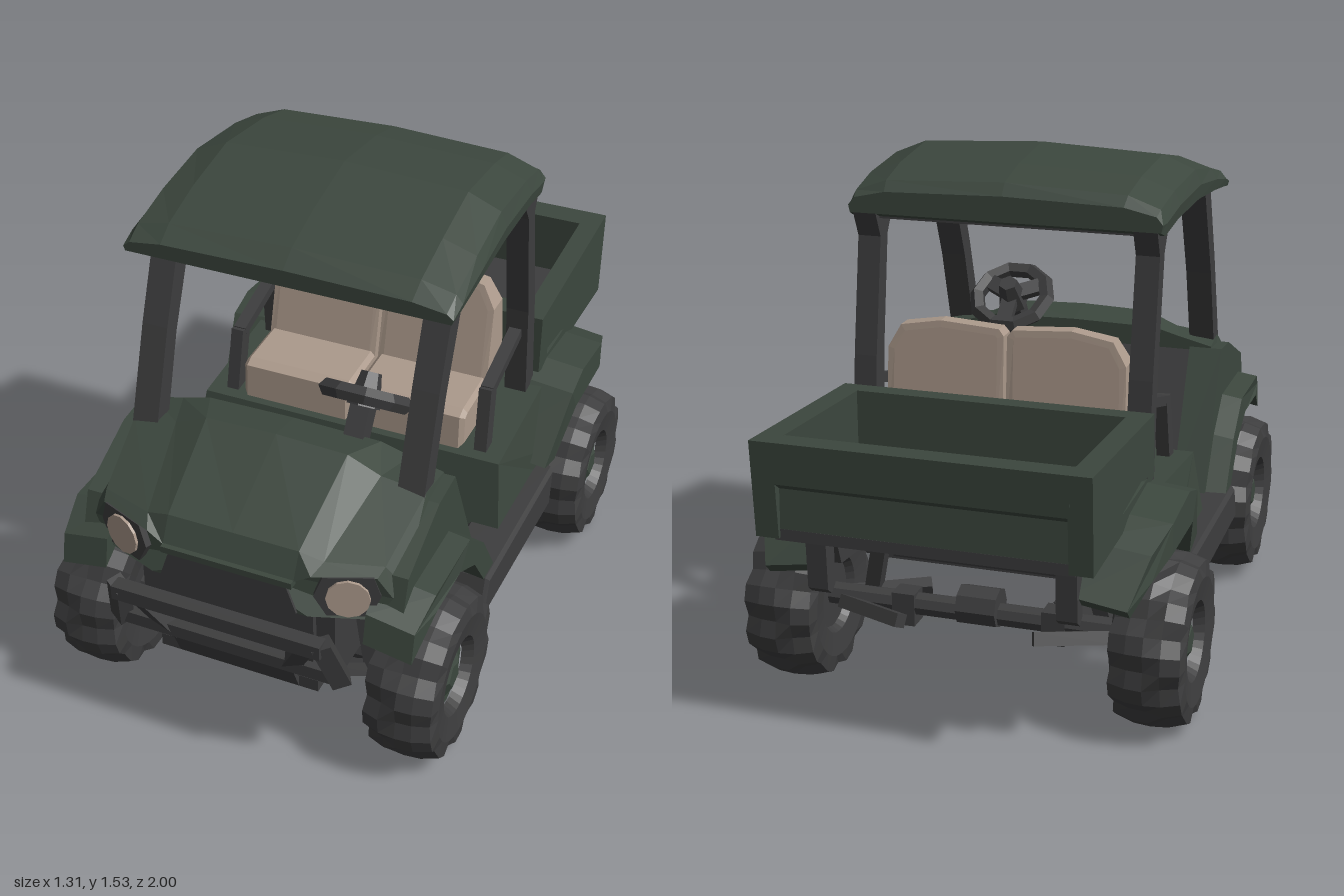
import * as THREE from 'three';

const mat = (name, color) => Object.assign(new THREE.MeshStandardMaterial({ color }), { name });

export function createModel() {
  const root = new THREE.Group();
  root.name = 'utilityCart';
  const green = mat('bodyGreen', 0x3c473e);
  const dark = mat('darkGrey', 0x3d3d3e);
  const tan = mat('seatTan', 0xab998b);
  const V = (x, y, z) => new THREE.Vector3(x, y, z);

  // Facet a geometry and add it as a named mesh
  function add(name, geo, m, parent = root) {
    const g = geo.index ? geo.toNonIndexed() : geo;
    g.computeVertexNormals();
    const mesh = new THREE.Mesh(g, m);
    mesh.name = name;
    parent.add(mesh);
    return mesh;
  }
  const box = (name, m, w, h, d, x, y, z) => add(name, new THREE.BoxGeometry(w, h, d).translate(x, y, z), m);

  // Move every vertex of a geometry by a rule
  function reshape(g, rule) {
    const p = g.attributes.position, v = V(0, 0, 0);
    for (let i = 0; i < p.count; i++) {
      v.fromBufferAttribute(p, i);
      rule(v);
      p.setXYZ(i, v.x, v.y, v.z);
    }
    return g;
  }

  // Side outline of [z, y] points, extruded from x0 to x1, with optional bevel, hole and vertex rule
  function side(name, m, pts, x0, x1, { bevel = 0, hole, rule } = {}) {
    const to2 = (p) => p.map(([z, y]) => new THREE.Vector2(-z, y));
    const shape = new THREE.Shape(to2(pts));
    if (hole) shape.holes.push(new THREE.Path(to2(hole)));
    const g = new THREE.ExtrudeGeometry(shape, {
      depth: x1 - x0 - 2 * bevel, bevelEnabled: bevel > 0, bevelThickness: bevel,
      bevelSize: bevel, bevelOffset: -bevel, bevelSegments: 1,
    });
    g.rotateY(Math.PI / 2).translate(x0 + bevel, 0, 0);
    return add(name, rule ? reshape(g, rule) : g, m);
  }
  function sides(name, m, pts, x0, x1, opt) {
    side('left' + name, m, pts, x0, x1, opt);
    side('right' + name, m, pts, -x1, -x0, opt);
  }

  // Front outline of [x, y] points, extruded along z
  function front(pts, depth, bevel = 0) {
    return new THREE.ExtrudeGeometry(new THREE.Shape(pts.map((p) => new THREE.Vector2(...p))), {
      depth, bevelEnabled: bevel > 0, bevelThickness: bevel, bevelSize: bevel, bevelOffset: -bevel, bevelSegments: 1,
    });
  }

  // Straight bar between two points; mirrored pair with bars()
  function bar(name, m, a, b, w, d, parent = root) {
    const dir = b.clone().sub(a);
    const g = new THREE.BoxGeometry(w, dir.length(), d);
    g.applyQuaternion(new THREE.Quaternion().setFromUnitVectors(V(0, 1, 0), dir.clone().normalize()));
    const c = a.clone().add(b).multiplyScalar(0.5);
    return add(name, g.translate(c.x, c.y, c.z), m, parent);
  }
  function bars(name, m, a, b, w, d) {
    for (const s of [1, -1]) bar((s > 0 ? 'left' : 'right') + name, m, V(a[0] * s, a[1], a[2]), V(b[0] * s, b[1], b[2]), w, d);
  }

  // Skin over mirrored half sections, front to back; half runs centre top -> outside -> bottom
  function loft(name, m, halves) {
    const rings = halves.map((h) => [...h, ...h.filter((p) => p[0] > 0).reverse().map(([x, y, z]) => [-x, y, z])]);
    const n = rings[0].length, idx = [];
    for (let k = 0; k < rings.length - 1; k++) for (let i = 0; i < n; i++) {
      const a = k * n + i, b = k * n + (i + 1) % n;
      idx.push(a, b, a + n, b, b + n, a + n);
    }
    const last = (rings.length - 1) * n;
    for (let i = 1; i < n - 1; i++) idx.push(0, i + 1, i, last, last + i, last + i + 1);
    const g = new THREE.BufferGeometry();
    g.setAttribute('position', new THREE.Float32BufferAttribute(rings.flat(2), 3));
    g.setIndex(idx);
    return add(name, g, m);
  }

  // Roof: crowned shell with a dark lining
  const roof = [[0.51, 1.405, 1.355, 0.492], [0.45, 1.445, 1.365, 0.495], [0.3, 1.495, 1.382, 0.495], [0.1, 1.54, 1.395, 0.49],
    [-0.13, 1.515, 1.385, 0.482], [-0.26, 1.485, 1.362, 0.475], [-0.29, 1.45, 1.375, 0.47]];
  loft('roof', green, roof.map(([z, t, l, w]) => {
    const h = t - l;
    return [[0, t, z], [w * 0.76, l + h * 0.88, z], [w * 0.96, l + h * 0.6, z], [w, l + h * 0.3, z], [w - 0.005, l, z], [0, l, z]];
  }));
  loft('roofLining', dark, roof.slice(1, 6).map(([z, , l, w]) =>
    [[0, l + 0.002, z], [w - 0.05, l + 0.002, z], [w - 0.05, l - 0.006, z], [0, l - 0.006, z]]));

  // Roof posts
  sides('FrontPost', dark, [[0.6, 0.82], [0.53, 0.82], [0.45, 1.08], [0.32, 1.385], [0.4, 1.375], [0.5, 1.12]], 0.375, 0.455);
  sides('RearPost', dark, [[-0.34, 0.64], [-0.27, 0.64], [-0.25, 0.95], [-0.2, 1.3], [-0.15, 1.38], [-0.29, 1.375], [-0.255, 1.3], [-0.31, 0.95]], 0.385, 0.455);

  // Hood with raised centre and swept-back corners
  const hood = [
    [0.9, 0.35, [0, 0.69], [0.2, 0.69], [0.25, 0.72], [0.42, 0.725], [0.46, 0.66], [0.42, 0.58], [0.24, 0.58]],
    [0.86, 0.3, [0, 0.765], [0.2, 0.765], [0.27, 0.745], [0.43, 0.745], [0.48, 0.68], [0.46, 0.58], [0.24, 0.58]],
    [0.58, 0, [0, 0.912], [0.22, 0.905], [0.32, 0.862], [0.455, 0.845], [0.49, 0.73], [0.48, 0.58], [0.24, 0.58]],
    [0.46, 0, [0, 0.89], [0.27, 0.885], [0.36, 0.86], [0.46, 0.835], [0.48, 0.73], [0.47, 0.58], [0.24, 0.58]],
  ];
  loft('hood', green, hood.map(([z, k, ...p]) => [...p.map(([x, y]) => [x, y, z - k * Math.max(0, x - 0.24)]), [0, 0.58, z]]));

  // Grille and headlights
  add('grille', front([[-0.21, 0.585], [0.21, 0.585], [0.18, 0.672], [-0.18, 0.672]], 0.008).translate(0, 0, 0.9), dark);
  bar('grilleLip', green, V(-0.2, 0.683, 0.9), V(0.2, 0.683, 0.9), 0.02, 0.03);
  for (const s of [1, -1]) {
    const lamp = new THREE.Group();
    lamp.name = s > 0 ? 'leftHeadlight' : 'rightHeadlight';
    lamp.position.set(0.345 * s, 0.655, 0.86);
    lamp.rotation.y = 0.34 * s;
    const bezel = [[-0.095, 0.0], [-0.06, -0.065], [0.06, -0.062], [0.09, 0.01], [0.07, 0.072], [-0.07, 0.066]].map(([x, y]) => [x * s, y]);
    add('headlightBezel', front(bezel, 0.02).translate(0, 0, -0.015), dark, lamp);
    add('headlightLens', new THREE.CylinderGeometry(0.062, 0.062, 0.009, 12).rotateX(Math.PI / 2).translate(0, 0, 0.009), tan, lamp);
    root.add(lamp);
  }

  // Front side panels, fender flares, and firewall
  sides('FrontPanel', green, [[0.84, 0.6], [0.8, 0.72], [0.58, 0.82], [0.46, 0.83], [0.26, 0.4], [0.35, 0.4], [0.45, 0.55], [0.57, 0.62], [0.74, 0.62]], 0.39, 0.495);
  const frontFlare = (v) => { if (Math.abs(v.x) > 0.53) { v.y -= 0.025; if (v.z > 0.8) v.x *= 0.97; } };
  sides('FrontFender', green, [[0.89, 0.53], [0.87, 0.62], [0.76, 0.68], [0.5, 0.68], [0.38, 0.58], [0.27, 0.41], [0.35, 0.41], [0.45, 0.55], [0.57, 0.615], [0.75, 0.615]], 0.4, 0.56, { rule: frontFlare });
  side('firewall', dark, [[0.46, 0.82], [0.26, 0.4], [0.29, 0.4], [0.49, 0.82]], -0.39, 0.39);
  side('firewallFront', green, [[0.49, 0.82], [0.29, 0.32], [0.33, 0.32], [0.53, 0.82]], -0.46, 0.46);
  box('frontBay', dark, 0.6, 0.28, 0.5, 0, 0.45, 0.6);

  // Floor, sills and undertray
  box('floor', dark, 0.96, 0.06, 0.68, 0, 0.36, 0.02);
  sides('Sill', dark, [[0.4, 0.285], [0.36, 0.405], [-0.24, 0.405], [-0.22, 0.272]], 0.42, 0.575, { bevel: 0.012 });
  box('undertray', dark, 0.86, 0.05, 0.62, 0, 0.3, 0.07);
  box('frontUndertray', dark, 0.5, 0.04, 0.52, 0, 0.29, 0.6);

  // Seat base and cushions
  side('seatBase', green, [[0.13, 0.39], [0.08, 0.61], [-0.34, 0.65], [-0.34, 0.55], [-0.22, 0.46], [-0.22, 0.39]], -0.52, 0.52,
    { rule: (v) => { if (v.y > 0.58) v.x *= 0.95; } });
  sides('SeatCushion', tan, [[0.065, 0.62], [0.06, 0.73], [0.03, 0.745], [-0.2, 0.755], [-0.26, 0.62]], 0.005, 0.37, { bevel: 0.014 });

  // Seat backs: front outline, reclined and thinned toward the top
  const lerp = THREE.MathUtils.lerp;
  for (const s of [1, -1]) {
    const outline = [[0.005, 0.7], [0.37, 0.7], [0.365, 0.97], [0.325, 1.04], [0.2, 1.062], [0.02, 1.05], [0.005, 1.03]].map(([x, y]) => [x * s, y]);
    add(s > 0 ? 'leftSeatBack' : 'rightSeatBack', reshape(front(outline, 0.96, 0.02), (v) => {
      const t = (v.y - 0.7) / 0.36, k = v.z + 0.02;
      v.z = lerp(lerp(-0.285, -0.26, t), lerp(-0.125, -0.21, t), k);
    }), tan);
  }

  // Hip rails beside the seats
  bars('RailUpright', dark, [0.42, 0.6, 0.02], [0.415, 0.81, -0.02], 0.04, 0.05);
  bars('RailTop', dark, [0.415, 0.8, -0.015], [0.415, 0.87, -0.27], 0.04, 0.03);

  // Steering wheel and column
  const wheel = new THREE.Group();
  wheel.name = 'steeringWheel';
  wheel.position.set(0.19, 0.97, 0.385);
  wheel.rotation.x = Math.atan2(-0.8, -0.6);
  add('steeringRim', new THREE.TorusGeometry(0.118, 0.026, 5, 10), dark, wheel);
  for (let i = 0; i < 3; i++) {
    const a = Math.PI / 2 + i * Math.PI * 2 / 3;
    bar('steeringSpoke', dark, V(0, 0, 0.01), V(0.12 * Math.cos(a), 0.12 * Math.sin(a), 0), 0.05, 0.025, wheel);
  }
  add('steeringHub', new THREE.CylinderGeometry(0.03, 0.05, 0.1, 6).rotateX(Math.PI / 2).translate(0, 0, 0.02), dark, wheel);
  root.add(wheel);
  bar('steeringColumn', dark, V(0.19, 0.95, 0.4), V(0.19, 0.8, 0.5), 0.06, 0.06);

  // Cargo bed with recessed side panels
  const bedSide = [[-0.34, 0.68], [-0.35, 0.87], [-1, 0.91], [-0.98, 0.63], [-0.5, 0.645]];
  sides('BedWall', green, bedSide, 0.405, 0.455);
  sides('BedFrame', green, bedSide, 0.455, 0.472, { hole: [[-0.42, 0.7], [-0.42, 0.82], [-0.92, 0.84], [-0.91, 0.69]] });
  side('bedFrontWall', green, [[-0.34, 0.68], [-0.35, 0.87], [-0.42, 0.875], [-0.42, 0.66]], -0.41, 0.41);
  side('tailgate', green, [[-0.92, 0.905], [-1, 0.91], [-0.992, 0.79], [-0.965, 0.77], [-0.97, 0.64], [-0.92, 0.64]], -0.41, 0.41);
  box('bedFloor', dark, 0.82, 0.05, 0.58, 0, 0.68, -0.66);
  side('bedUnderside', dark, [[-0.34, 0.655], [-0.34, 0.6], [-0.6, 0.625], [-0.97, 0.622], [-0.97, 0.655]], -0.42, 0.42);
  side('seatBackWall', dark, [[-0.2, 0.3], [-0.2, 0.62], [-0.34, 0.64], [-0.34, 0.5], [-0.28, 0.3]], -0.36, 0.36);

  // Rear fenders, cut back toward the tail, with dark wheel wells
  sides('RearFender', green, [[-0.17, 0.47], [-0.32, 0.67], [-0.42, 0.7], [-0.62, 0.68], [-0.74, 0.63], [-0.83, 0.5], [-0.8, 0.47], [-0.73, 0.55],
    [-0.62, 0.59], [-0.37, 0.59], [-0.27, 0.44]], 0.36, 0.595, {
    rule: (v) => {
      if (Math.abs(v.x) < 0.55) return;
      v.y -= 0.025;
      if (v.z < -0.7) v.x *= v.z < -0.78 ? 0.88 : 0.95;
      if (v.z > -0.28) v.x *= 0.95;
    },
  });
  sides('RearWheelWell', dark, [[-0.25, 0.42], [-0.37, 0.6], [-0.62, 0.6], [-0.75, 0.54], [-0.72, 0.46]], 0.34, 0.365);
  sides('RearBracket', dark, [[-0.79, 0.64], [-0.85, 0.64], [-0.84, 0.43], [-0.815, 0.41], [-0.79, 0.43]], 0.33, 0.39);

  // Front guard and skid plate
  bar('guardTop', dark, V(-0.32, 0.55, 0.975), V(0.32, 0.55, 0.975), 0.045, 0.045);
  bar('guardBottom', dark, V(-0.35, 0.41, 0.91), V(0.35, 0.41, 0.91), 0.04, 0.05);
  bars('GuardEnd', dark, [0.31, 0.565, 0.97], [0.345, 0.39, 0.91], 0.045, 0.055);
  bars('GuardStrut', dark, [0.27, 0.55, 0.965], [0.18, 0.38, 0.9], 0.04, 0.05);
  bars('GuardMount', dark, [0.24, 0.42, 0.91], [0.24, 0.43, 0.8], 0.04, 0.05);
  box('guardBackPlate', dark, 0.5, 0.16, 0.02, 0, 0.49, 0.875);
  side('skidPlate', dark, [[0.92, 0.41], [0.86, 0.27], [0.78, 0.27], [0.8, 0.41]], -0.19, 0.19);

  // Wheels: knobbly tyres around green dished hubs
  function makeWheel(name, x, y, z, r) {
    const s = Math.sign(x), w = 0.108, segs = 30;
    const prof = [[0.1, -0.6], [0.12, -0.9], [0.19, -1], [0.237, -0.92], [0.254, -0.45], [0.258, 0], [0.254, 0.45], [0.237, 0.92], [0.19, 1], [0.12, 0.9], [0.1, 0.6]];
    const g = new THREE.LatheGeometry(prof.map(([a, b]) => new THREE.Vector2(a * r / 0.257, b * w)), segs);
    const p = g.attributes.position, n = prof.length;
    for (let k = 0; k < p.count; k++) {
      const j = k % n, i = Math.floor(k / n) % segs;
      if (j < 3 || j > 7) continue;
      const low = (i + (j > 5 ? 2 : 0)) % 3 === 0;
      const f = low ? 0.94 : 1;
      p.setXYZ(k, p.getX(k) * f, p.getY(k) * (low ? 0.96 : 1.03), p.getZ(k) * f);
    }
    const grp = new THREE.Group();
    grp.name = name;
    grp.position.set(x, y, z);
    add('tyre', g.rotateZ(Math.PI / 2), dark, grp);
    const disc = (nm, m, ra, rb, len, count, at) =>
      add(nm, new THREE.CylinderGeometry(ra, rb, len, count).rotateZ(-s * Math.PI / 2).translate(s * at, 0, 0), m, grp);
    disc('rim', green, 0.106, 0.106, 0.12, 12, 0);
    disc('hubCap', green, 0.04, 0.085, 0.025, 5, 0.07);
    disc('innerHub', dark, 0.106, 0.106, 0.03, 12, -0.06);
    root.add(grp);
  }
  for (const s of [1, -1]) {
    const n = s > 0 ? 'left' : 'right';
    makeWheel(n + 'FrontWheel', 0.5 * s, 0.278, 0.65, 0.258);
    makeWheel(n + 'RearWheel', 0.545 * s, 0.257, -0.5, 0.252);
  }

  // Axles, suspension arms and dampers
  for (const [nm, y, z, len] of [['front', 0.28, 0.65, 0.9], ['rear', 0.26, -0.5, 1]]) {
    add(nm + 'Axle', new THREE.CylinderGeometry(0.035, 0.035, len, 8).rotateZ(Math.PI / 2).translate(0, y, z), dark);
    bars(nm + 'Damper', dark, [0.36, y, z + 0.06], [0.28, 0.6, z], 0.045, 0.045);
    for (const d of [0.1, -0.1]) bars(nm + 'Arm', dark, [0.2, y, z + d * 1.3], [0.42, y - 0.01, z + d * 0.3], 0.04, 0.04);
    add(nm + 'Differential', new THREE.CylinderGeometry(0.06, 0.06, 0.12, 8).rotateZ(Math.PI / 2).translate(0, y + 0.02, z), dark);
    bars(nm + 'ArmMount', dark, [0.23, 0.2, z], [0.23, 0.3, z], 0.07, 0.07);
  }
  return root;
}
